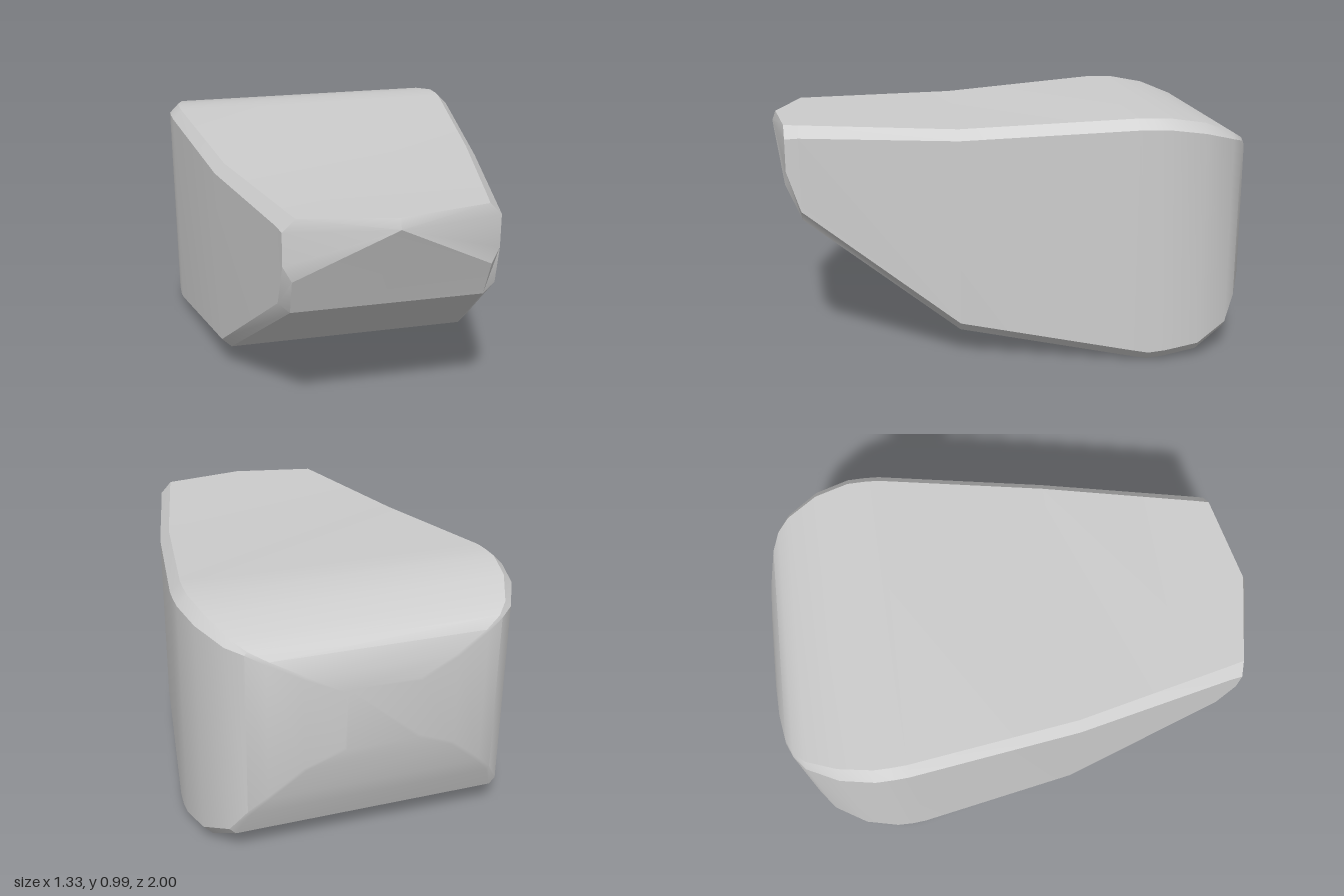
import * as THREE from 'three';
import { toCreasedNormals } from 'three/addons/utils/BufferGeometryUtils.js';

// Cross-sections from front to back: z, half width, bottom, top, chamfer
const SECTIONS = [
  [0.85, 0.42, 0.55, 0.94, 0.045],
  [0.22, 0.557, 0.11, 0.94, 0.04],
  [-0.47, 0.66, 0.01, 0.99, 0.04],
  [-0.53, 0.663, 0, 0.99, 0.04],
  [-0.6, 0.663, 0.008, 0.988, 0.04],
  [-0.74, 0.632, 0.025, 0.965, 0.038],
  [-0.87, 0.56, 0.1, 0.915, 0.025],
  [-0.92, 0.5, 0.21, 0.885, 0.012],
  [-0.952, 0.43, 0.285, 0.85, 0.01],
  [-0.982, 0.3, 0.4, 0.785, 0.01],
  [-1, 0.15, 0.47, 0.72, 0.01],
];

// Mirror the right-hand points to close a ring (clockwise seen from the front)
function closeRing(half) {
  return [...half, ...half.map(([x, y, z]) => [-x, y, z]).reverse()];
}

function chamferedRing([z, w, bottom, top, c]) {
  return closeRing([
    [w - c, top, z], [w, top - c, z], [w, bottom + c, z], [w - c, bottom, z],
  ]);
}

function bodyGeometry() {
  const positions = [];
  const tri = (...points) => points.forEach((p) => positions.push(...p));

  // Front ring, where the flanks meet the pointed nose
  const nose = closeRing([
    [0.36, 0.94, 0.912], [0.41, 0.89, 0.905], [0.41, 0.76, 0.905], [0.378, 0.7, 0.914],
  ]);
  const rings = [nose, ...SECTIONS.map(chamferedRing)];

  // Skin between neighbouring rings
  for (let i = 0; i < rings.length - 1; i++) {
    for (let j = 0; j < 8; j++) {
      const k = (j + 1) % 8;
      tri(rings[i][j], rings[i][k], rings[i + 1][k]);
      tri(rings[i][j], rings[i + 1][k], rings[i + 1][j]);
    }
  }

  // Nose faces around the tip, and the top triangle above them
  const tip = [0, 0.9, 1];
  const brow = [0, 0.94, 0.985];
  const rim = [...nose, brow];
  rim.forEach((p, j) => tri(tip, rim[(j + 1) % rim.length], p));
  tri(nose[0], nose[7], brow);

  // Flat back cap
  const back = rings[rings.length - 1];
  for (let j = 1; j < 7; j++) tri(back[0], back[j], back[j + 1]);

  const geometry = new THREE.BufferGeometry();
  geometry.setAttribute('position', new THREE.Float32BufferAttribute(positions, 3));
  return toCreasedNormals(geometry, 0.46);
}

export function createModel() {
  const grey = new THREE.MeshStandardMaterial({ color: 0xcccccc });
  grey.name = 'light grey';

  const body = new THREE.Mesh(bodyGeometry(), grey);
  body.name = 'body';

  const model = new THREE.Group();
  model.name = 'chamferedWedge';
  model.add(body);
  return model;
}
